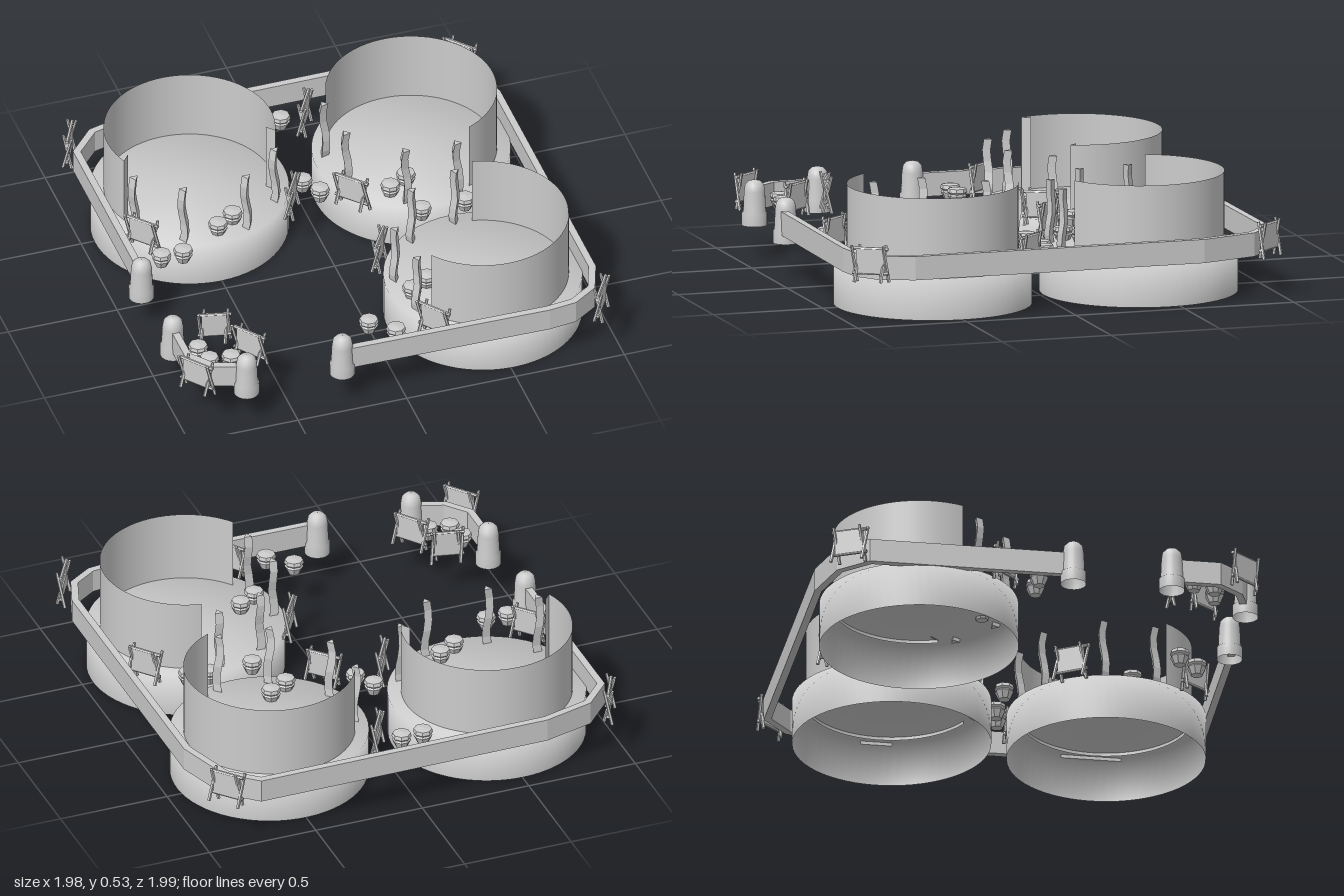
import * as THREE from 'three';

const mat = new THREE.MeshStandardMaterial({ color: 0xcccccc, side: THREE.DoubleSide });
const flat = new THREE.MeshStandardMaterial({ color: 0xcccccc, side: THREE.DoubleSide, flatShading: true });
const rad = THREE.MathUtils.degToRad;
const profile = (pts) => pts.map(([x, y]) => new THREE.Vector2(x, y));

function add(parent, name, geometry, material, x = 0, y = 0, z = 0) {
  const mesh = new THREE.Mesh(geometry, material);
  mesh.name = name;
  mesh.position.set(x, y, z);
  parent.add(mesh);
  return mesh;
}

// Wall of constant thickness following a mitred floor path [x, z]
function wallGeometry(path, thickness, y0, y1) {
  const pts = profile(path.map(([x, z]) => [x, -z]));
  const side = (sign) => pts.map((p, i) => {
    const a = p.clone().sub(pts[Math.max(i - 1, 0)]).normalize();
    const b = pts[Math.min(i + 1, pts.length - 1)].clone().sub(p).normalize();
    const t = a.clone().add(b).normalize();
    const d = i && i < pts.length - 1 ? t.dot(a) : 1;
    return new THREE.Vector2(-t.y, t.x).multiplyScalar(sign * thickness / 2 / d).add(p);
  });
  const shape = new THREE.Shape([...side(1), ...side(-1).reverse()]);
  return new THREE.ExtrudeGeometry(shape, { depth: y1 - y0, bevelEnabled: false })
    .rotateX(-Math.PI / 2).translate(0, y0, 0);
}

// Three-sided pole with a gentle S bend
function poleGeometry(height) {
  const g = new THREE.CylinderGeometry(0.021, 0.023, height, 3, 6);
  const p = g.attributes.position;
  for (let i = 0; i < p.count; i++) {
    const t = p.getY(i) / height + 0.5;
    p.setX(i, p.getX(i) + 0.009 * Math.sin(t * Math.PI * 2));
    p.setZ(i, p.getZ(i) + 0.005 * Math.sin(t * Math.PI * 3));
  }
  return g;
}

// Round platform with a curved screen and four poles across its opening
function createHut([x, z, turn, flaps]) {
  const hut = new THREE.Group();
  hut.name = 'hut';
  hut.position.set(x, 0, z);
  hut.rotation.y = rad(turn);
  add(hut, 'platform', new THREE.LatheGeometry(
    profile([[0.435, 0], [0.435, 0.205], [0, 0.205]]), 64), mat);
  add(hut, 'curvedScreen', new THREE.CylinderGeometry(
    0.375, 0.375, 0.34, 48, 1, true, rad(68), rad(224)), mat, 0, 0.36, 0);
  for (const s of [-1, 1]) {
    if (flaps) {
      const flap = add(hut, 'screenFlap', new THREE.PlaneGeometry(0.046, 0.33), mat, s * 0.333, 0.365, 0.122);
      flap.rotation.y = s * rad(-49);
    }
    for (const angle of [22, 57]) {
      const a = rad(s * angle);
      add(hut, 'pole', poleGeometry(0.295), flat, 0.385 * Math.sin(a), 0.335, 0.385 * Math.cos(a));
    }
  }
  return hut;
}

// Hide panel stretched between two pairs of crossed sticks
const stickGeometry = new THREE.CylinderGeometry(0.007, 0.008, 0.168, 5);
function createRack([x0, z0, x1, z1]) {
  const rack = new THREE.Group();
  rack.name = 'rack';
  const length = Math.hypot(x1 - x0, z1 - z0);
  rack.position.set((x0 + x1) / 2, 0.268, (z0 + z1) / 2);
  rack.rotation.y = -Math.atan2(z1 - z0, x1 - x0);
  add(rack, 'panel', new THREE.BoxGeometry(length - 0.02, 0.105, 0.014), flat, 0, 0.012, 0);
  for (const y of [-0.042, 0.066]) {
    const bar = add(rack, 'crossBar', new THREE.CylinderGeometry(0.008, 0.008, length + 0.015, 6), flat, 0, y, 0);
    bar.rotation.z = Math.PI / 2;
  }
  for (const end of [-1, 1]) {
    for (const s of [-1, 1]) {
      const stick = add(rack, 'crossedStick', stickGeometry, flat, end * (length / 2 - 0.008 + s * 0.006), 0, 0);
      stick.rotation.set(s * 0.23, 0, s * 0.1);
    }
  }
  return rack;
}

export function createModel() {
  const model = new THREE.Group();
  model.name = 'walledCamp';

  // Huts: x, z, direction of the opening, screen flaps
  [[-0.505, -0.49, 0, true], [0.5, -0.45, -44, false], [0.515, 0.5, -123, false]]
    .forEach((h) => model.add(createHut(h)));

  // Enclosing walls
  add(model, 'longWall', wallGeometry([
    [-0.93, 0.12], [-0.93, -0.77], [-0.82, -0.89], [-0.6, -0.95], [0.74, -0.96], [0.865, -0.85],
    [0.945, -0.6], [0.945, 0.72], [0.895, 0.86], [0.79, 0.93], [0.67, 0.945], [-0.27, 0.935],
  ], 0.032, 0.19, 0.295), flat);
  add(model, 'shortWall', wallGeometry(
    [[-0.93, 0.56], [-0.93, 0.77], [-0.85, 0.87], [-0.71, 0.92]], 0.032, 0.19, 0.295), flat);

  // Domed posts at the wall ends
  const postGeometry = new THREE.LatheGeometry(profile([
    [0.056, 0.15], [0.056, 0.205], [0.05, 0.21], [0.046, 0.3], [0.041, 0.33], [0.026, 0.346], [0, 0.352],
  ]), 24);
  for (const [x, z] of [[-0.93, 0.125], [-0.93, 0.56], [-0.71, 0.92], [-0.27, 0.92]])
    add(model, 'wallPost', postGeometry, mat, x, 0, z);

  // Lidded pots
  const potGeometry = new THREE.LatheGeometry(profile([
    [0, 0.195], [0.026, 0.195], [0.042, 0.23], [0.036, 0.237], [0.044, 0.246], [0.04, 0.262], [0, 0.268],
  ]), 8);
  for (const [x, z] of [
    [-0.49, -0.14], [-0.405, -0.195], [0.31, -0.165], [0.4, -0.22], [0.17, 0.56], [0.255, 0.505],
    [-0.09, -0.78], [0.01, -0.78], [-0.04, -0.325], [0.01, -0.235], [-0.795, -0.005], [-0.695, -0.005],
    [0.39, 0.03], [0.59, 0.025], [0.685, 0.045], [-0.85, 0.67], [-0.83, 0.765], [-0.735, 0.78],
    [-0.085, 0.73], [0.01, 0.82],
  ]) add(model, 'pot', potGeometry, flat, x, 0, z).rotation.y = Math.PI / 8;

  // Racks: floor positions of both ends
  [
    [-0.965, -0.8, -0.9, -0.93], [0.84, -0.98, 0.935, -0.87], [0.075, -0.69, 0.15, -0.82],
    [-0.165, -0.14, -0.09, -0.27], [0.08, -0.21, 0.18, -0.1], [-0.88, -0.21, -0.785, -0.1],
    [0.8, 0.1, 0.89, 0.21], [0.075, 0.34, 0.15, 0.22], [0.135, 0.78, 0.225, 0.9],
    [0.885, 0.98, 0.96, 0.855], [-0.975, 0.825, -0.88, 0.945], [-0.685, 0.69, -0.595, 0.81],
    [-0.81, 0.565, -0.68, 0.595],
  ].forEach((r) => model.add(createRack(r)));

  return model;
}
